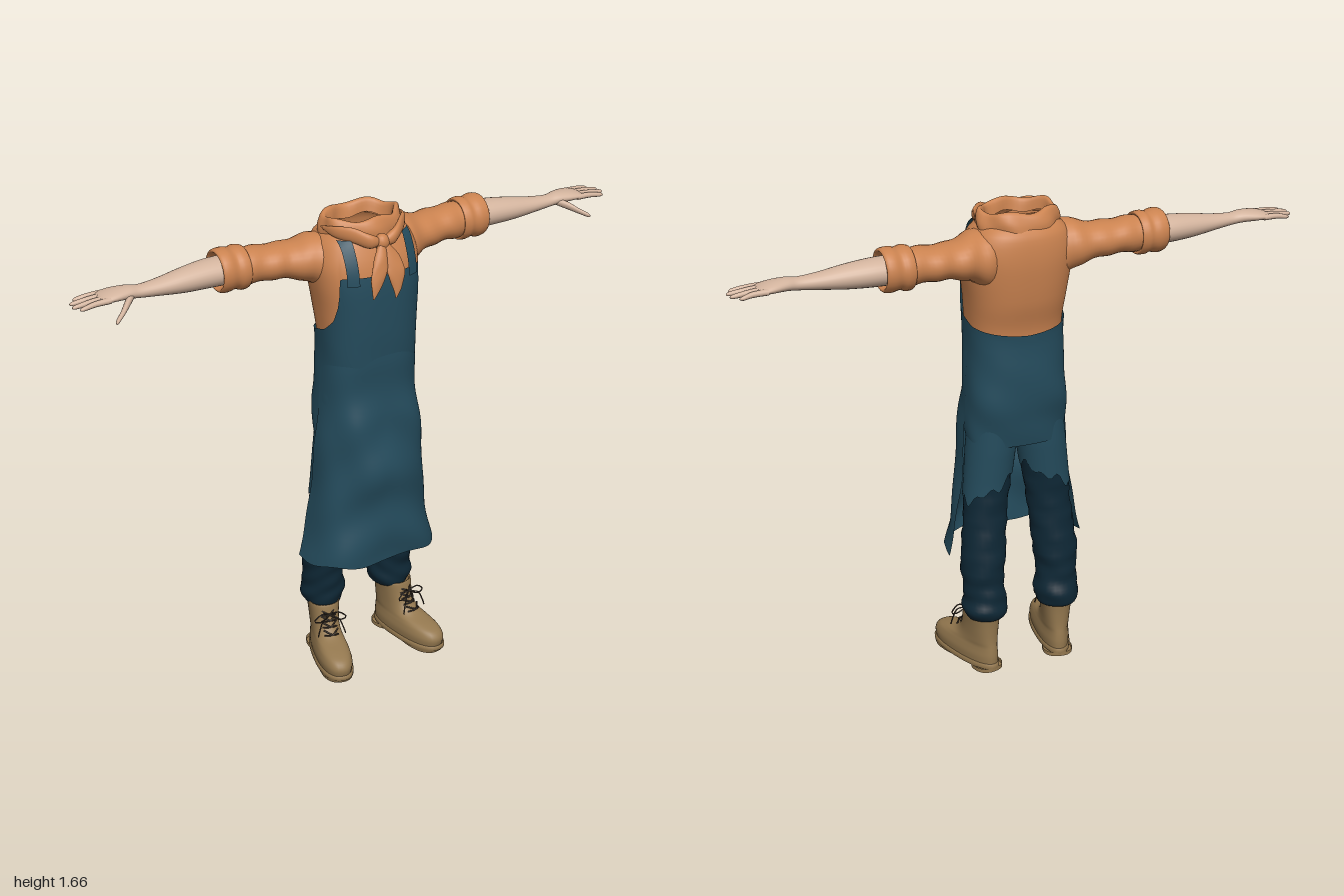
import * as THREE from 'three';

const mat = (name, color) => {
  const m = new THREE.MeshStandardMaterial({ color, side: THREE.DoubleSide });
  m.name = name;
  return m;
};
const orange = mat('orange cloth', 0xcb8350);
const teal = mat('teal apron cloth', 0x244b5c);
const navy = mat('navy trouser cloth', 0x0e2735);
const skin = mat('skin', 0xd2b39d);
const leather = mat('tan leather', 0x94784f);
const lace = mat('dark lace', 0x40352c);

// Smoothly resample a table of section rows
function spline(rows, sub = 4) {
  const out = [], last = rows.length - 1;
  const row = i => rows[Math.max(0, Math.min(last, i))];
  for (let i = 0; i < last; i++) for (let k = 0; k < sub; k++) {
    const t = k / sub;
    out.push(row(i).map((b, j) => {
      const a = row(i - 1)[j], c = row(i + 1)[j], d = row(i + 2)[j];
      return b + 0.5 * t * (c - a + t * (2 * a - 5 * b + 4 * c - d + t * (3 * (b - c) + d - a)));
    }));
  }
  out.push(rows[last]);
  return out;
}

// Linear lookup in a table keyed by its rising first column
function at(table, v) {
  let i = 0;
  while (i < table.length - 2 && table[i + 1][0] < v) i++;
  const a = table[i], b = table[i + 1];
  const t = THREE.MathUtils.clamp((v - a[0]) / (b[0] - a[0]), 0, 1);
  return a.map((n, j) => n + (b[j] - n) * t);
}

// Skin a list of equal-length rings of [x, y, z] points
function loft(rings, { closed = true, capStart = false, capEnd = false } = {}) {
  const n = rings[0].length, pos = rings.flat(2), idx = [];
  for (let r = 0; r < rings.length - 1; r++) for (let k = 0; k < (closed ? n : n - 1); k++) {
    const a = r * n + k, b = r * n + (k + 1) % n;
    idx.push(a, b, a + n, b, b + n, a + n);
  }
  const cap = (r, flip) => {
    const c = pos.length / 3, start = c;
    for (const p of rings[r]) pos.push(...p);
    pos.push(...[0, 1, 2].map(j => rings[r].reduce((s, p) => s + p[j], 0) / n));
    for (let k = 0; k < n; k++) {
      const a = start + k, b = start + (k + 1) % n;
      idx.push(...(flip ? [b, a, c + n] : [a, b, c + n]));
    }
  };
  if (capStart) cap(0, true);
  if (capEnd) cap(rings.length - 1, false);
  const g = new THREE.BufferGeometry();
  g.setAttribute('position', new THREE.Float32BufferAttribute(pos, 3));
  g.setIndex(idx);
  g.computeVertexNormals();
  return g;
}

const range = (n, f) => Array.from({ length: n }, (_, i) => f(i));
const pw = (v, e = 0.8) => Math.sign(v) * Math.abs(v) ** e;
const TAU = Math.PI * 2;

// Upright tube, rows [y, xc, zc, rx, rz]; sideways tube, rows [x, yc, zc, ry, rz]
const tubeY = (rows, s = 1, fold = 0, n = 28) => spline(rows).map(([y, xc, zc, rx, rz]) => range(n, k => {
  const a = k / n * TAU, f = 1 + fold * Math.sin(y * 75 + 2.2 * Math.sin(a + s)) * Math.cos(a * 2 + y * 20);
  return [s * (xc + rx * f * Math.sin(a)), y, zc + rz * f * Math.cos(a)];
}));
const tubeX = (rows, s = 1, fold = 0, n = 28, sub = 4) => spline(rows, sub).map(([x, yc, zc, ry, rz]) => range(n, k => {
  const a = k / n * TAU, f = 1 + fold * Math.sin(x * 70 + 2 * Math.sin(a + s));
  return [s * x, yc + ry * f * Math.sin(a), zc + rz * f * Math.cos(a)];
}));

// Torso profile: [y, half width, front z, back z]
const BODY = spline([
  [0.84, 0.165, 0.06, -0.125], [0.92, 0.17, 0.08, -0.135], [1.0, 0.17, 0.09, -0.147], [1.1, 0.162, 0.105, -0.146],
  [1.24, 0.162, 0.115, -0.14], [1.35, 0.17, 0.117, -0.165], [1.45, 0.183, 0.114, -0.178], [1.52, 0.185, 0.102, -0.18],
  [1.58, 0.165, 0.078, -0.172], [1.61, 0.135, 0.06, -0.155], [1.625, 0.115, 0.045, -0.13]]);
// Upper edge of the apron by angle from the front
const EDGE = [[0, 1.49], [0.78, 1.49], [0.88, 1.4], [1.08, 1.335], [1.4, 1.295], [1.8, 1.268], [3.15, 1.24]];
const edgeAt = phi => at(EDGE, Math.abs(phi))[1];
function bodyPoint(phi, y, off = 0) {
  const [, hx, zf, zb] = at(BODY, y);
  return [(hx + off) * pw(Math.sin(phi)), y, (zf + zb) / 2 + ((zf - zb) / 2 + off) * pw(Math.cos(phi))];
}

export function createModel() {
  const model = new THREE.Group();
  const add = (name, geometry, material) => {
    const m = new THREE.Mesh(geometry, material);
    m.name = name;
    model.add(m);
    return m;
  };
  const tube = (name, pts, r, material) => add(name, new THREE.TubeGeometry(
    new THREE.CatmullRomCurve3(pts.map(p => new THREE.Vector3(...p))), 16, r, 6), material);

  // Shirt and the fitted teal cloth share the torso profile
  const N = 96, angle = k => (k / N - 0.5) * TAU;
  add('shirtBody', loft(range(25, r => range(N, k => {
    const low = edgeAt(angle(k)) - 0.03;
    return bodyPoint(angle(k), low + (1.625 - low) * r / 24);
  }))), orange);
  add('apronUpper', loft(range(33, r => range(N, k => {
    const a = angle(k), y = 0.84 + (edgeAt(a) - 0.84) * r / 32;
    return bodyPoint(a, y, 0.007 + 0.003 * Math.sin(y * 30 + 4 * a) * Math.max(0, 1.3 - y) * 2);
  })), { capStart: true }), teal);

  // Apron skirt, open at the back: [y, half width, front z, rear edge z]
  const SKIRT = spline([[0.43, 0.25, 0.152, -0.04], [0.52, 0.232, 0.15, -0.042], [0.66, 0.205, 0.147, -0.04], [0.8, 0.192, 0.152, -0.03],
    [0.95, 0.182, 0.132, -0.02], [1.05, 0.174, 0.117, -0.02], [1.16, 0.168, 0.12, -0.02], [1.22, 0.163, 0.118, -0.02]]);
  add('apronSkirt', loft(range(40, r => range(49, k => {
    const a = (k / 48 - 0.5) * Math.PI, t = r / 39;
    const y = 0.43 + 0.79 * t + 0.008 * (1 - t) * Math.sin(a * 6);
    const [, hx, zf, zb] = at(SKIRT, y);
    const f = 1 + Math.min(1, (1 - t) * 3) * (0.035 * Math.sin(a * 5 + y * 11) + 0.03 * Math.sin(y * 26 + 3 * Math.abs(a)));
    return [hx * pw(Math.sin(a)) * (1 + (f - 1) * 0.4), y, zb + (zf - zb) * pw(Math.cos(a)) * f];
  })), { closed: false }), teal);

  // Collar standing around the open neck: [y, half width, front z, back z]
  add('collar', loft(spline([[1.595, 0.142, 0.068, -0.162], [1.625, 0.143, 0.066, -0.158], [1.655, 0.132, 0.052, -0.142],
    [1.653, 0.118, 0.036, -0.122], [1.615, 0.112, 0.028, -0.11]]).map(([y, hx, zf, zb]) => range(48, k => {
    const a = k / 48 * TAU, f = 1 + 0.03 * Math.sin(a * 7 + y * 40);
    return [hx * f * Math.sin(a), y + 0.006 * Math.sin(a * 5 + 1), (zf + zb) / 2 + (zf - zb) / 2 * f * Math.cos(a)];
  }))), orange);

  // Neckerchief knot and tails
  const knot = add('scarfKnot', new THREE.SphereGeometry(0.026, 16, 12), orange);
  knot.scale.set(1, 1.1, 0.9);
  knot.position.set(0, 1.595, 0.095);
  add('scarfTailLeft', loft(tubeY([[1.6, 0.005, 0.095, 0.01, 0.012], [1.55, 0.022, 0.118, 0.027, 0.012],
    [1.5, 0.03, 0.137, 0.032, 0.009], [1.45, 0.03, 0.146, 0.017, 0.006], [1.415, 0.022, 0.15, 0.002, 0.002]], 1, 0.08)), orange);
  add('scarfTailRight', loft(tubeY([[1.6, 0.005, 0.1, 0.01, 0.012], [1.55, 0.018, 0.122, 0.024, 0.012],
    [1.5, 0.036, 0.138, 0.028, 0.009], [1.46, 0.048, 0.145, 0.017, 0.006], [1.425, 0.06, 0.148, 0.002, 0.002]], -1, 0.08)), orange);

  for (const s of [1, -1]) {
    const side = s > 0 ? 'left' : 'right';
    add(side + 'ScarfFold', loft(tubeX([[0.005, 1.597, 0.095, 0.01, 0.012], [0.045, 1.607, 0.093, 0.025, 0.017],
      [0.085, 1.62, 0.062, 0.026, 0.017], [0.13, 1.628, 0.01, 0.018, 0.014], [0.147, 1.63, -0.04, 0.004, 0.006]], s, 0.08)), orange);

    // Apron strap lying on the chest
    add(side + 'Strap', loft(range(12, r => range(4, k => {
      const y = 1.465 + 0.14 * r / 11, x = 0.087 + 0.036 * k / 3;
      const phi = Math.asin(Math.min(1, x / at(BODY, y)[1]) ** 1.25);
      const p = bodyPoint(phi, y, 0.01);
      return [s * p[0], y, p[2] + 0.004];
    })), { closed: false }), teal);

    // Sleeve and rolled cuff
    add(side + 'Sleeve', loft(tubeX([[0.11, 1.5, -0.055, 0.105, 0.1], [0.15, 1.508, -0.063, 0.095, 0.1], [0.2, 1.517, -0.078, 0.074, 0.09],
      [0.26, 1.52, -0.09, 0.06, 0.078], [0.32, 1.524, -0.097, 0.058, 0.074], [0.38, 1.525, -0.1, 0.06, 0.068],
      [0.43, 1.525, -0.103, 0.062, 0.066]], s, 0.04)), orange);
    add(side + 'Cuff', loft(tubeX([[0.41, 1.525, -0.103, 0.056, 0.058], [0.402, 1.525, -0.103, 0.07, 0.07], [0.425, 1.525, -0.104, 0.075, 0.075],
      [0.445, 1.525, -0.104, 0.069, 0.071], [0.47, 1.526, -0.104, 0.074, 0.075], [0.494, 1.527, -0.104, 0.072, 0.072],
      [0.5, 1.527, -0.104, 0.062, 0.064], [0.47, 1.527, -0.104, 0.05, 0.058]], s, 0.015)), orange);

    // Forearm, palm, fingers and thumb
    add(side + 'Arm', loft(tubeX([[0.44, 1.525, -0.105, 0.047, 0.06], [0.53, 1.525, -0.105, 0.046, 0.056], [0.62, 1.522, -0.1, 0.039, 0.047],
      [0.7, 1.52, -0.096, 0.028, 0.036], [0.77, 1.521, -0.094, 0.021, 0.028], [0.81, 1.526, -0.096, 0.021, 0.034],
      [0.86, 1.526, -0.1, 0.018, 0.044], [0.895, 1.523, -0.101, 0.013, 0.043], [0.91, 1.521, -0.101, 0.007, 0.034]], s), { capEnd: true }), skin);
    [[-0.137, 0.975], [-0.113, 0.997], [-0.088, 1.0], [-0.065, 0.985]].forEach(([z, tip], i) => {
      const z2 = z + (z + 0.1) * 0.15;
      add(side + 'Finger' + (i + 1), loft(tubeX([[0.88, 1.523, z, 0.01, 0.0105], [0.93, 1.522, z, 0.0095, 0.0095],
        [tip - 0.012, 1.517, z2, 0.007, 0.0075], [tip, 1.516, z2, 0.002, 0.002]], s, 0, 10)), skin);
    });
    add(side + 'Thumb', loft(tubeX([[0.795, 1.52, -0.085, 0.012, 0.014], [0.83, 1.507, -0.052, 0.014, 0.016], [0.86, 1.49, -0.024, 0.01, 0.012],
      [0.885, 1.477, -0.005, 0.008, 0.009], [0.893, 1.473, 0.0, 0.002, 0.002]], s, 0, 12)), skin);

    // Trouser leg with the teal cloth reaching down over its thigh
    add(side + 'TrouserLeg', loft(tubeY([[0.195, 0.137, -0.075, 0.055, 0.06], [0.207, 0.137, -0.082, 0.068, 0.074], [0.24, 0.138, -0.083, 0.079, 0.081],
      [0.28, 0.135, -0.078, 0.074, 0.075], [0.33, 0.14, -0.072, 0.071, 0.074], [0.4, 0.137, -0.068, 0.078, 0.077], [0.5, 0.128, -0.058, 0.077, 0.073],
      [0.6, 0.118, -0.048, 0.077, 0.07], [0.7, 0.106, -0.042, 0.079, 0.074], [0.82, 0.092, -0.037, 0.083, 0.083]], s, 0.05)), navy);
    const THIGH = [[0.58, 0.12, -0.048, 0.083, 0.076], [0.7, 0.107, -0.042, 0.084, 0.08], [0.82, 0.093, -0.037, 0.087, 0.089], [0.94, 0.083, -0.035, 0.084, 0.09]];
    add(side + 'TealThigh', loft(range(16, r => range(48, k => {
      const a = k / 48 * TAU, low = 0.69 - 0.05 * Math.sin(a) + 0.012 * Math.sin(a * 9) + 0.01 * Math.sin(a * 5 + s);
      const y = low + (0.94 - low) * r / 15, [, xc, zc, rx, rz] = at(THIGH, y);
      return [s * (xc + rx * Math.sin(a)), y, zc + rz * Math.cos(a)];
    }))), teal);

    // Boot: rows [y, half width, toe z, heel z] around the ankle, toes turned out
    const bootRings = rows => rows.map(([y, hw, zf, zb]) => range(36, k => {
      const a = k / 36 * TAU, c = pw(Math.cos(a), 0.85);
      const spread = 1 + 0.16 * c * Math.min(1, (zf - zb) / 0.3 - 0.3);
      return [hw * spread * pw(Math.sin(a), 0.85), y, (zf + zb) / 2 + (zf - zb) / 2 * c];
    }));
    const boot = new THREE.Group();
    boot.name = side + 'Boot';
    boot.position.set(s * 0.143, 0, -0.07);
    boot.rotation.y = s * 0.22;
    model.add(boot);
    const upper = add('bootUpper', loft(bootRings(spline([[0.018, 0.055, 0.245, -0.073], [0.05, 0.058, 0.252, -0.074], [0.075, 0.054, 0.235, -0.072],
      [0.09, 0.05, 0.195, -0.07], [0.105, 0.048, 0.135, -0.068], [0.13, 0.048, 0.1, -0.067], [0.17, 0.051, 0.082, -0.068],
      [0.213, 0.056, 0.072, -0.071], [0.205, 0.05, 0.064, -0.064]]))), leather);
    const sole = add('bootSole', loft(bootRings([[0.008, 0.058, 0.25, -0.077], [0.012, 0.061, 0.255, -0.079], [0.024, 0.061, 0.256, -0.079],
      [0.028, 0.056, 0.25, -0.074]]), { capStart: true }), leather);
    const heel = add('bootHeel', loft(bootRings([[0, 0.052, 0.025, -0.078], [0.015, 0.052, 0.025, -0.078]]), { capStart: true }), leather);
    const tread = add('bootTread', loft(bootRings([[0, 0.055, 0.245, 0.06], [0.012, 0.057, 0.25, 0.055]]), { capStart: true }), leather);
    boot.add(upper, sole, heel, tread);

    // Crossed laces and a loose bow
    [[0.115, 0.125], [0.135, 0.103], [0.155, 0.094], [0.175, 0.086]].forEach(([y, z]) => [1, -1].forEach(d => boot.add(
      tube('lace', [[-d * 0.026, y, z - 0.012], [0, y + 0.009, z + 0.003], [d * 0.026, y + 0.018, z - 0.02]], 0.003, lace))));
    for (const d of [1, -1]) {
      boot.add(tube('laceLoop', [[0, 0.185, 0.088], [d * 0.03, 0.197, 0.1], [d * 0.058, 0.172, 0.1], [d * 0.035, 0.165, 0.1], [0, 0.183, 0.09]], 0.0025, lace));
      boot.add(tube('laceEnd', [[0, 0.183, 0.09], [d * 0.028, 0.175, 0.108], [d * 0.042, 0.145, 0.115], [d * 0.05, 0.118, 0.118]], 0.0025, lace));
    }
  }
  return model;
}
